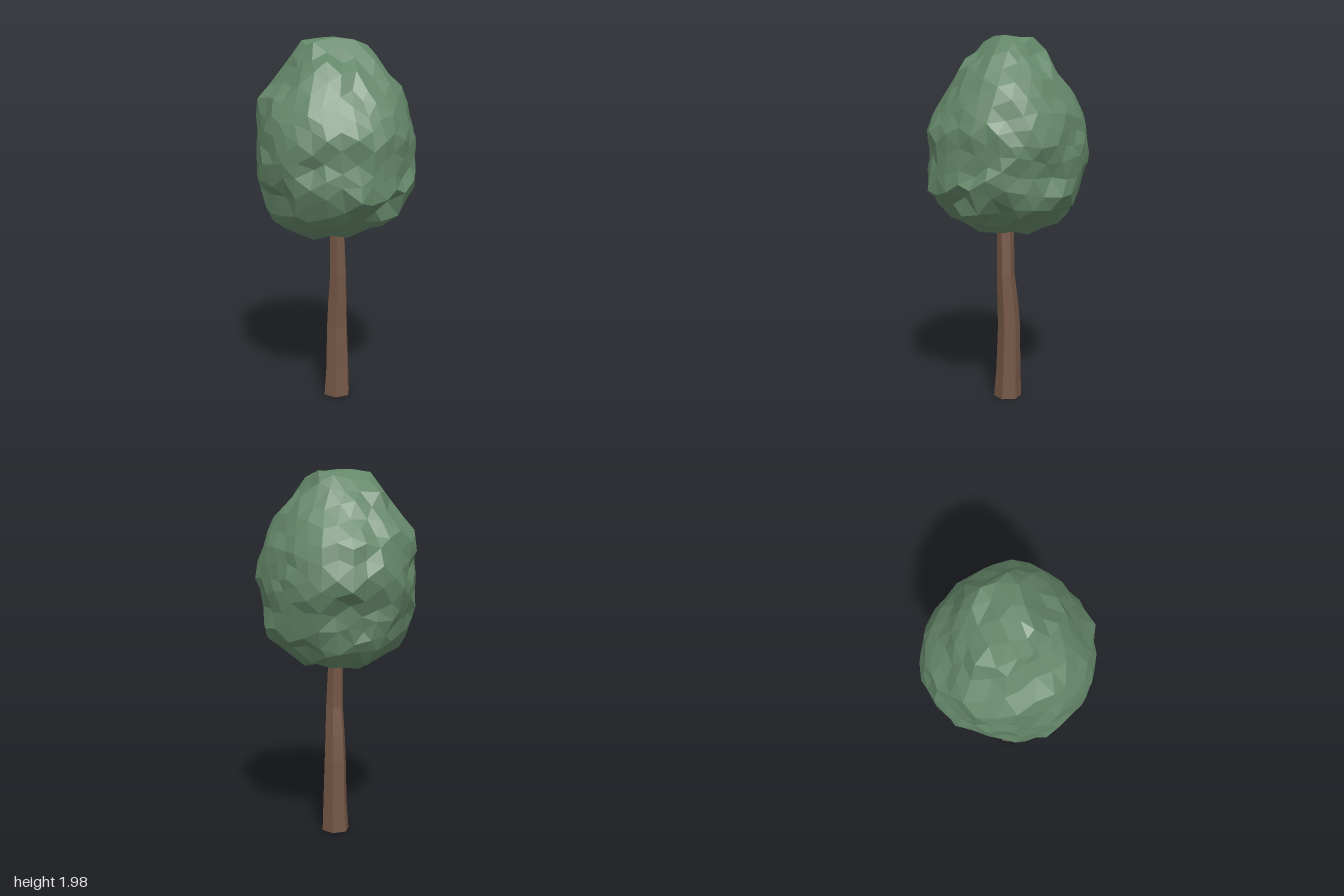
import * as THREE from 'three';
import { mergeVertices } from 'three/addons/utils/BufferGeometryUtils.js';

// Crown outline from top to bottom: height, then reach along +x, -x, +z, -z
const CROWN = [
  [2.00, 0.00, 0.00, 0.00, 0.00],
  [1.98, 0.12, 0.08, 0.08, 0.08],
  [1.92, 0.165, 0.19, 0.13, 0.17],
  [1.84, 0.23, 0.235, 0.21, 0.24],
  [1.75, 0.31, 0.29, 0.29, 0.29],
  [1.65, 0.365, 0.38, 0.335, 0.37],
  [1.56, 0.40, 0.415, 0.39, 0.42],
  [1.47, 0.415, 0.425, 0.45, 0.44],
  [1.37, 0.435, 0.435, 0.43, 0.455],
  [1.27, 0.41, 0.425, 0.44, 0.41],
  [1.18, 0.415, 0.40, 0.44, 0.375],
  [1.09, 0.375, 0.37, 0.38, 0.36],
  [1.02, 0.31, 0.33, 0.31, 0.33],
  [0.965, 0.20, 0.24, 0.20, 0.20],
  [0.93, 0.10, 0.13, 0.11, 0.10],
  [0.915, 0.00, 0.00, 0.00, 0.00],
];

// Trunk rings: height, centre x, centre z, radius x, half depth z
const TRUNK = [
  [0.00, 0.012, 0.006, 0.077, 0.066],
  [0.15, 0.016, 0.004, 0.069, 0.058],
  [0.40, 0.016, 0.000, 0.062, 0.053],
  [0.55, 0.014, 0.008, 0.056, 0.049],
  [0.70, 0.013, 0.020, 0.049, 0.042],
  [0.95, 0.008, 0.017, 0.042, 0.041],
  [1.20, 0.005, 0.010, 0.035, 0.033],
];

function seeded(seed) {
  let s = seed;
  return () => (s = (s * 16807) % 2147483647) / 2147483647;
}

// Round faceted ball pulled onto the crown outline, then roughened
function crownGeometry() {
  let geo = new THREE.IcosahedronGeometry(1, 5);
  geo.deleteAttribute('normal');
  geo.deleteAttribute('uv');
  geo = mergeVertices(geo, 1e-4);
  const rand = seeded(2027);
  const jitter = (size) => (rand() - 0.5) * size;
  const pos = geo.attributes.position;
  for (let i = 0; i < pos.count; i++) {
    const dir = new THREE.Vector3().fromBufferAttribute(pos, i).normalize();
    const polar = Math.acos(THREE.MathUtils.clamp(dir.y, -1, 1));
    const t = (polar / Math.PI) * (CROWN.length - 1);
    const k = Math.min(Math.floor(t), CROWN.length - 2);
    const row = CROWN[k].map((v, j) => THREE.MathUtils.lerp(v, CROWN[k + 1][j], t - k));
    const a = Math.atan2(dir.z, dir.x);
    const c = Math.cos(a), s = Math.sin(a);
    // shoulders on one diagonal near the top, a flatter back right corner lower down
    const upper = THREE.MathUtils.smoothstep(dir.y, 0.15, 0.55);
    const shoulder = 0.11 * upper * Math.max(0, Math.sin(2 * a));
    const flat = 0.06 * (1 - upper) * Math.max(0, Math.cos(a + 2.48)) ** 12;
    const lobes = 0.012 * Math.sin(5 * a + 4 * dir.y) + 0.012 * Math.sin(9 * dir.y + 3 * a);
    // leafy ruffles get stronger towards the underside and the tip
    const rough = dir.y < -0.2 || dir.y > 0.75 ? 1 : 0.6;
    const r = 0.985 + shoulder - flat + lobes + jitter(0.09) * rough;
    pos.setXYZ(i,
      c * (c > 0 ? row[1] : row[2]) * r + jitter(0.025) * rough,
      THREE.MathUtils.clamp(row[0] + jitter(0.05) * rough, 0.9, 2),
      s * (s > 0 ? row[3] : row[4]) * r + jitter(0.025) * rough);
  }
  return geo;
}

// Six-sided trunk that bends and tapers from ring to ring
function trunkGeometry() {
  const sides = 6, p = [], idx = [];
  for (const [y, cx, cz, rx, hz] of TRUNK) {
    for (let i = 0; i < sides; i++) {
      const a = (i / sides) * Math.PI * 2;
      p.push(cx + rx * Math.cos(a), y, cz + (hz / Math.sin(Math.PI / 3)) * Math.sin(a));
    }
  }
  for (let r = 0; r < TRUNK.length - 1; r++) {
    for (let i = 0; i < sides; i++) {
      const a = r * sides + i, b = r * sides + (i + 1) % sides;
      idx.push(a, a + sides, b, b, a + sides, b + sides);
    }
  }
  const top = (TRUNK.length - 1) * sides;
  for (let i = 1; i < sides - 1; i++) {
    idx.push(0, i, i + 1, top, top + i + 1, top + i);
  }
  const geo = new THREE.BufferGeometry();
  geo.setAttribute('position', new THREE.Float32BufferAttribute(p, 3));
  geo.setIndex(idx);
  return geo;
}

function addPart(group, name, geometry, color) {
  const geo = geometry.toNonIndexed();
  geo.computeVertexNormals();
  const mesh = new THREE.Mesh(geo, new THREE.MeshStandardMaterial({ color, flatShading: true }));
  mesh.name = name;
  group.add(mesh);
}

export function createModel() {
  const tree = new THREE.Group();
  tree.name = 'tree';
  addPart(tree, 'trunk', trunkGeometry(), 0x745645);
  addPart(tree, 'crown', crownGeometry(), 0x648769);
  return tree;
}
